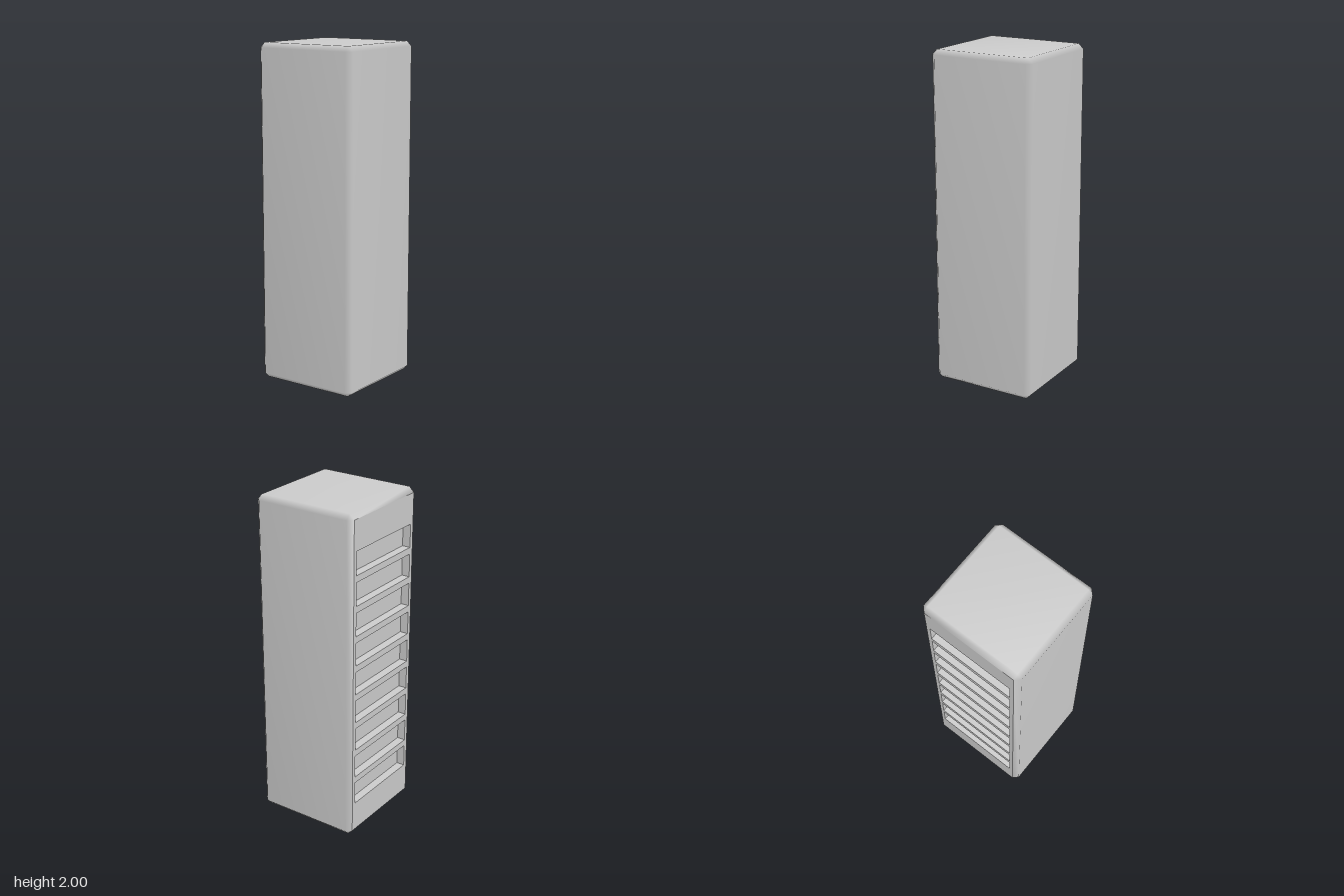
import * as THREE from 'three';
import { mergeVertices } from 'three/addons/utils/BufferGeometryUtils.js';

const H = 2, R = 0.323, C = 0.03;            // height, half width, chamfer
const SLOTS = 9, SLOT_W = 0.535, SLOT_H = 0.14, PITCH = 0.18, DEPTH = 0.05;

const material = new THREE.MeshStandardMaterial({ color: 0xcccccc });

function mesh(name, geometry) {
  const m = new THREE.Mesh(geometry, material);
  m.name = name;
  return m;
}

// Eight points counter-clockwise: chamfered outline, or the plain inset rectangle
function ring(z, inset) {
  const a = R - C, b = inset ? a : R;
  const u = H / 2 - C, v = inset ? u : H / 2;
  return [[b, -u], [b, u], [a, v], [-a, v], [-b, u], [-b, -u], [-a, -v], [a, -v]]
    .map(([x, y]) => [x, y + H / 2, z]);
}

// Chamfered box, open at the back
function shellGeometry() {
  const rings = [ring(-R, true), ring(-R + C, false), ring(R - C, false), ring(R, true)];
  const index = [];
  for (let i = 0; i < 3; i++) {
    for (let j = 0; j < 8; j++) {
      const k = (j + 1) % 8;
      const a = i * 8 + j, b = i * 8 + k, c = b + 8, d = a + 8;
      index.push(a, b, c, a, c, d);
    }
  }
  for (let j = 1; j < 7; j++) index.push(24, 24 + j, 25 + j); // front cap
  const g = new THREE.BufferGeometry();
  g.setAttribute('position', new THREE.Float32BufferAttribute(rings.flat(2), 3));
  g.setIndex(index);
  const merged = mergeVertices(g);
  merged.computeVertexNormals();
  return merged;
}

function rectangle(target, w, h, y) {
  target.moveTo(-w / 2, y - h / 2);
  target.lineTo(w / 2, y - h / 2);
  target.lineTo(w / 2, y + h / 2);
  target.lineTo(-w / 2, y + h / 2);
  target.closePath();
  return target;
}

// Recess: box turned inside out, without its outer (-z) side
function recessGeometry() {
  const g = new THREE.BoxGeometry(SLOT_W, SLOT_H, DEPTH);
  g.setIndex(Array.from(g.index.array).slice(0, 30).reverse());
  g.clearGroups();
  g.computeVertexNormals();
  return g;
}

export function createModel() {
  const model = new THREE.Group();
  model.name = 'ventedTower';
  model.add(mesh('shell', shellGeometry()));

  // Back panel with a column of rectangular openings
  const panel = rectangle(new THREE.Shape(), 2 * (R - C), H - 2 * C, H / 2);
  const slots = new THREE.Group();
  slots.name = 'ventSlots';
  const recess = recessGeometry();
  for (let i = 0; i < SLOTS; i++) {
    const y = H / 2 + (i - (SLOTS - 1) / 2) * PITCH;
    panel.holes.push(rectangle(new THREE.Path(), SLOT_W, SLOT_H, y));
    const slot = mesh('ventSlot', recess);
    slot.position.set(0, y, -R + DEPTH / 2);
    slots.add(slot);
  }
  const back = mesh('backPanel', new THREE.ShapeGeometry(panel));
  back.rotation.y = Math.PI;
  back.position.z = -R;
  model.add(back, slots);
  return model;
}
